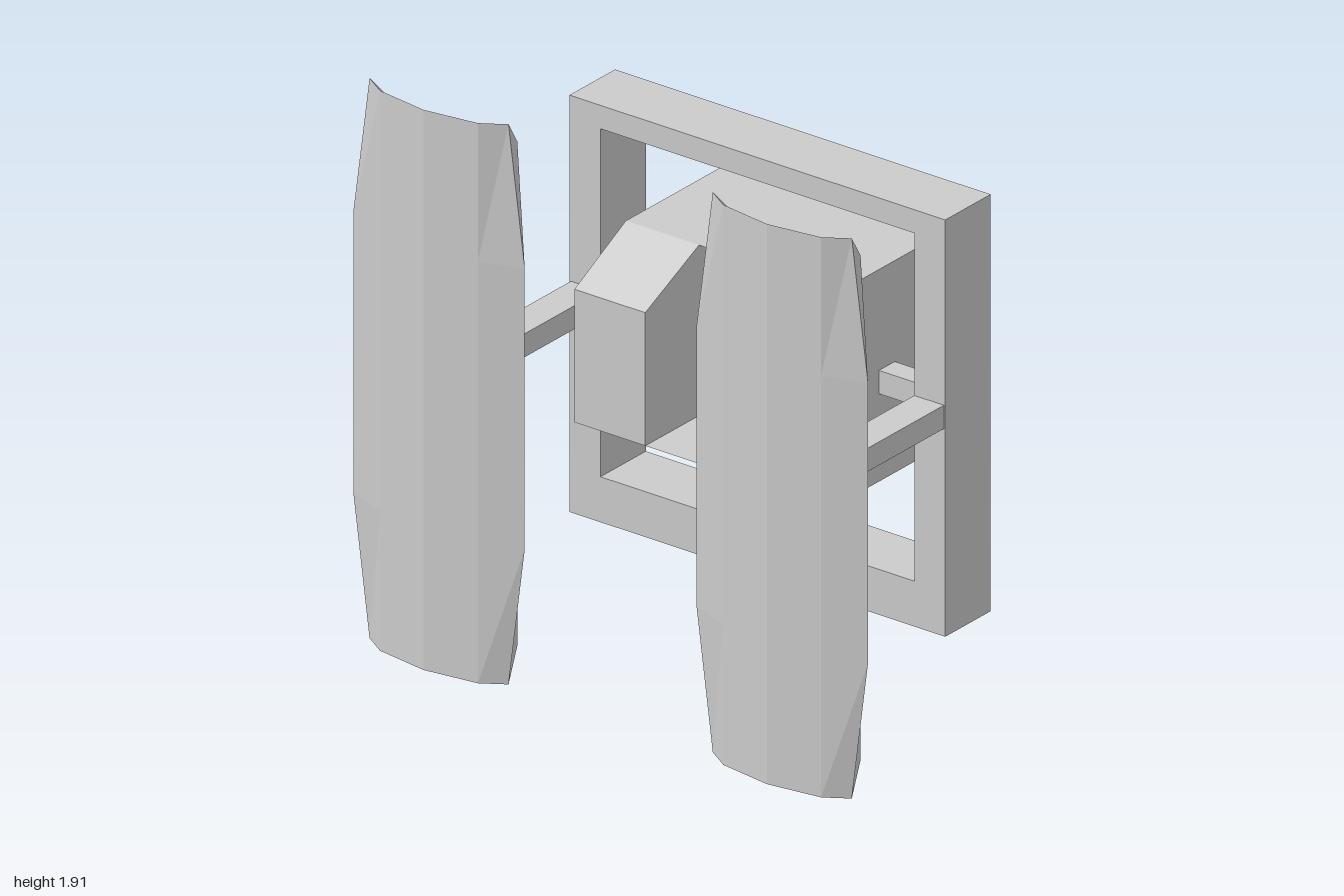
import * as THREE from 'three';

const mat = new THREE.MeshStandardMaterial({ color: 0xcccccc, flatShading: true, side: THREE.DoubleSide });

function add(group, name, geometry, x = 0, y = 0, z = 0) {
  const mesh = new THREE.Mesh(geometry, mat);
  mesh.name = name;
  mesh.position.set(x, y, z);
  group.add(mesh);
}

// box from its x, y and z ranges
function bar(group, name, [x0, x1], [y0, y1], [z0, z1]) {
  add(group, name, new THREE.BoxGeometry(x1 - x0, y1 - y0, z1 - z0),
    (x0 + x1) / 2, (y0 + y1) / 2, (z0 + z1) / 2);
}

// side profile of [z, y] points, extruded across x and centred on x = 0
function profile(points, width) {
  const shape = new THREE.Shape(points.map(([z, y]) => new THREE.Vector2(z, y)));
  return new THREE.ExtrudeGeometry(shape, { depth: width, bevelEnabled: false })
    .translate(0, 0, -width / 2).rotateY(-Math.PI / 2);
}

// upright panel: cross-sections with a faceted front, lofted in y, with sloped ends
function panelGeometry() {
  const rows = [[0, 0.27, 0.095], [0.48, 0.333, 0.48], [1.44, 0.333, 1.44], [1.915, 0.27, 1.82]];
  const pos = [], idx = [], n = 7;
  for (const [y, w, backY] of rows) {
    const mid = 0.19;
    pos.push(-w, y, 0.637, -mid, y, 0.688, 0, y, 0.715, mid, y, 0.688, w, y, 0.637,
      0.245, backY, 0.56, -0.245, backY, 0.56);
  }
  for (let r = 0; r < rows.length - 1; r++) {
    for (let i = 0; i < n; i++) {
      const a = r * n + i, b = r * n + (i + 1) % n;
      idx.push(a, b, b + n, a, b + n, a + n);
    }
  }
  // end caps, joining the back edge to the front curve
  const top = (rows.length - 1) * n;
  for (const [a, b, c] of [[6, 0, 1], [6, 1, 2], [6, 2, 5], [5, 2, 3], [5, 3, 4]]) {
    idx.push(top + a, top + b, top + c, a, c, b);
  }
  const g = new THREE.BufferGeometry();
  g.setAttribute('position', new THREE.Float32BufferAttribute(pos, 3));
  g.setIndex(idx);
  const flat = g.toNonIndexed();
  flat.computeVertexNormals();
  return flat;
}

export function createModel() {
  const model = new THREE.Group();
  model.name = 'model';

  // square frame around the cabin
  const outline = new THREE.Shape([[-0.73, 0.21], [0.73, 0.21], [0.73, 1.635], [-0.73, 1.635]]
    .map(p => new THREE.Vector2(...p)));
  outline.holes.push(new THREE.Path([[-0.61, 0.365], [-0.61, 1.555], [0.61, 1.555], [0.61, 0.365]]
    .map(p => new THREE.Vector2(...p))));
  add(model, 'frame', new THREE.ExtrudeGeometry(outline, { depth: 0.23, bevelEnabled: false }), 0, 0, -0.335);

  // middle of the cabin, with a deep recess open to the front
  add(model, 'cabinCore', profile([
    [-0.72, 0.62], [0.02, 0.62], [0.28, 0.755], [-0.28, 0.77], [-0.28, 1.14],
    [-0.5, 1.255], [0.02, 1.345], [-0.72, 1.345],
  ], 0.28));

  for (const s of [1, -1]) {
    const side = s > 0 ? 'left' : 'right';

    // cabin side with a chamfered nose; its inner wall narrows the recess toward the back
    const cheek = profile([
      [-0.72, 0.62], [0.02, 0.62], [0.28, 0.755], [0.28, 1.21], [0.02, 1.345], [-0.72, 1.345],
    ], 0.275).translate(s * 0.2775, 0, 0);
    const p = cheek.attributes.position;
    for (let i = 0; i < p.count; i++) {
      if (Math.abs(p.getX(i)) < 0.2) p.setX(i, s * (0.14 - 0.036 * (0.28 - p.getZ(i))));
    }
    cheek.computeVertexNormals();
    add(model, side + 'CabinSide', cheek);

    // strut from cabin to frame, arm from frame to panel
    const range = (a, b) => s > 0 ? [a, b] : [-b, -a];
    bar(model, side + 'Strut', range(0.4, 0.62), [0.92, 1.0], [-0.26, -0.18]);
    bar(model, side + 'Arm', range(0.61, 0.725), [0.92, 1.0], [-0.11, 0.565]);

    add(model, side + 'Panel', panelGeometry(), s * 0.667);
  }
  return model;
}
